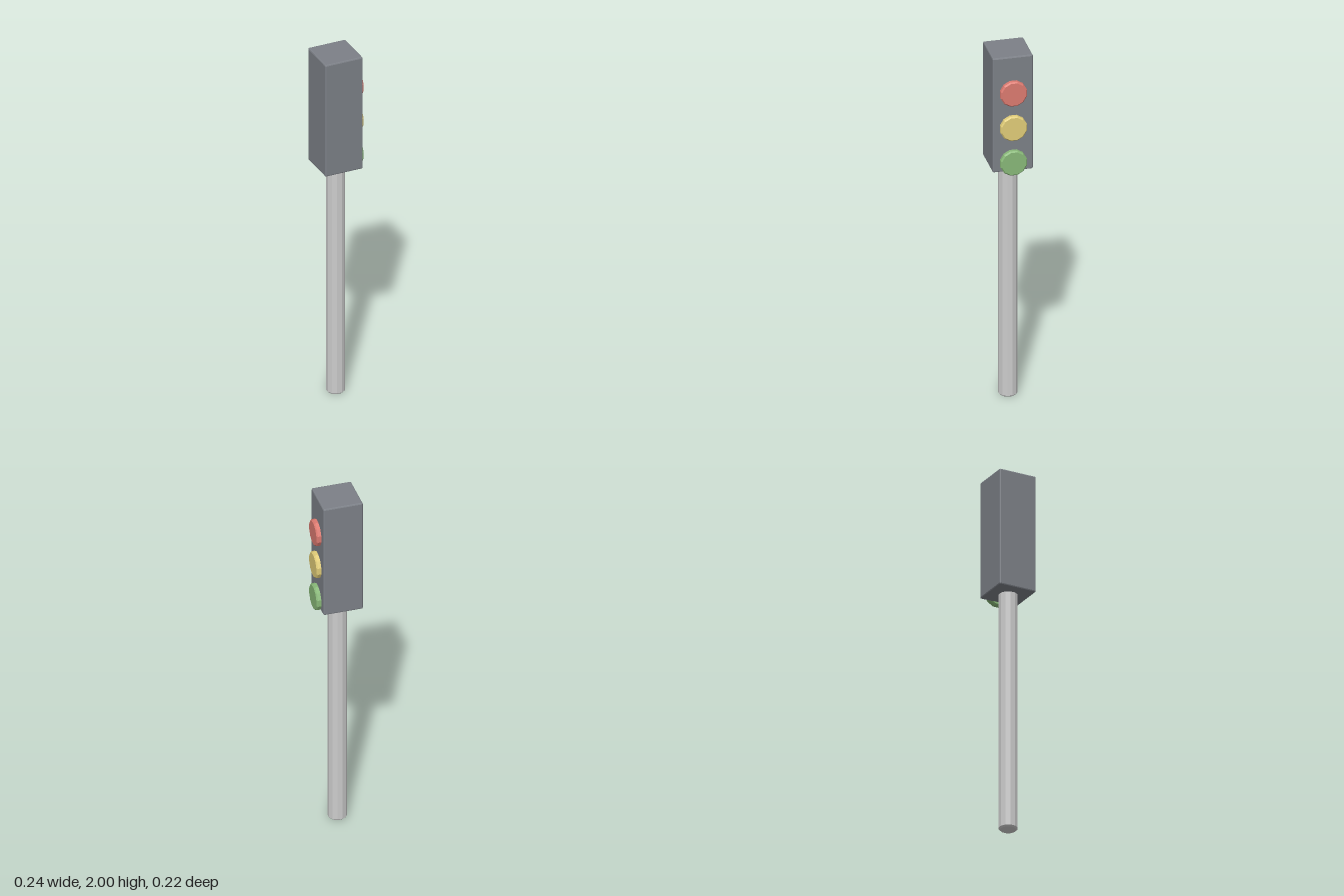
import * as THREE from 'three';
import { RoundedBoxGeometry } from 'three/addons/geometries/RoundedBoxGeometry.js';

const CENTRE_X = -0.0125;

function material(color) {
  return new THREE.MeshStandardMaterial({ color, flatShading: true });
}

// Twelve-sided solid cylinder with chamfered rims, standing on its origin
function chamferedCylinder(radius, height, bevel) {
  const profile = [
    [0, 0], [radius - bevel, 0], [radius, bevel],
    [radius, height - bevel], [radius - bevel, height], [0, height],
  ].map(([x, y]) => new THREE.Vector2(x, y));
  return new THREE.LatheGeometry(profile, 12, Math.PI / 12);
}

export function createModel() {
  const model = new THREE.Group();
  model.name = 'trafficLight';

  function add(name, geometry, color, x, y, z = 0) {
    const mesh = new THREE.Mesh(geometry, material(color));
    mesh.name = name;
    mesh.position.set(x, y, z);
    model.add(mesh);
    return mesh;
  }

  // Pole, ending just inside the housing
  add('pole', chamferedCylinder(0.051, 1.36, 0.008), 0xcccccc, CENTRE_X, 0);

  // Signal housing with a small chamfer on every edge
  add('housing', new RoundedBoxGeometry(0.215, 0.66, 0.215, 1, 0.007), 0x7c8087, CENTRE_X, 1.67, -0.001);

  // Lamps, stacked on the +x side
  const lampGeometry = chamferedCylinder(0.0725, 0.035, 0.007);
  lampGeometry.rotateZ(-Math.PI / 2);
  const lamps = [['redLamp', 0xdc7a70], ['yellowLamp', 0xe0cc78], ['greenLamp', 0x88b878]];
  lamps.forEach(([name, color], i) => add(name, lampGeometry, color, 0.085, 1.793 - i * 0.2, -0.001));

  return model;
}
